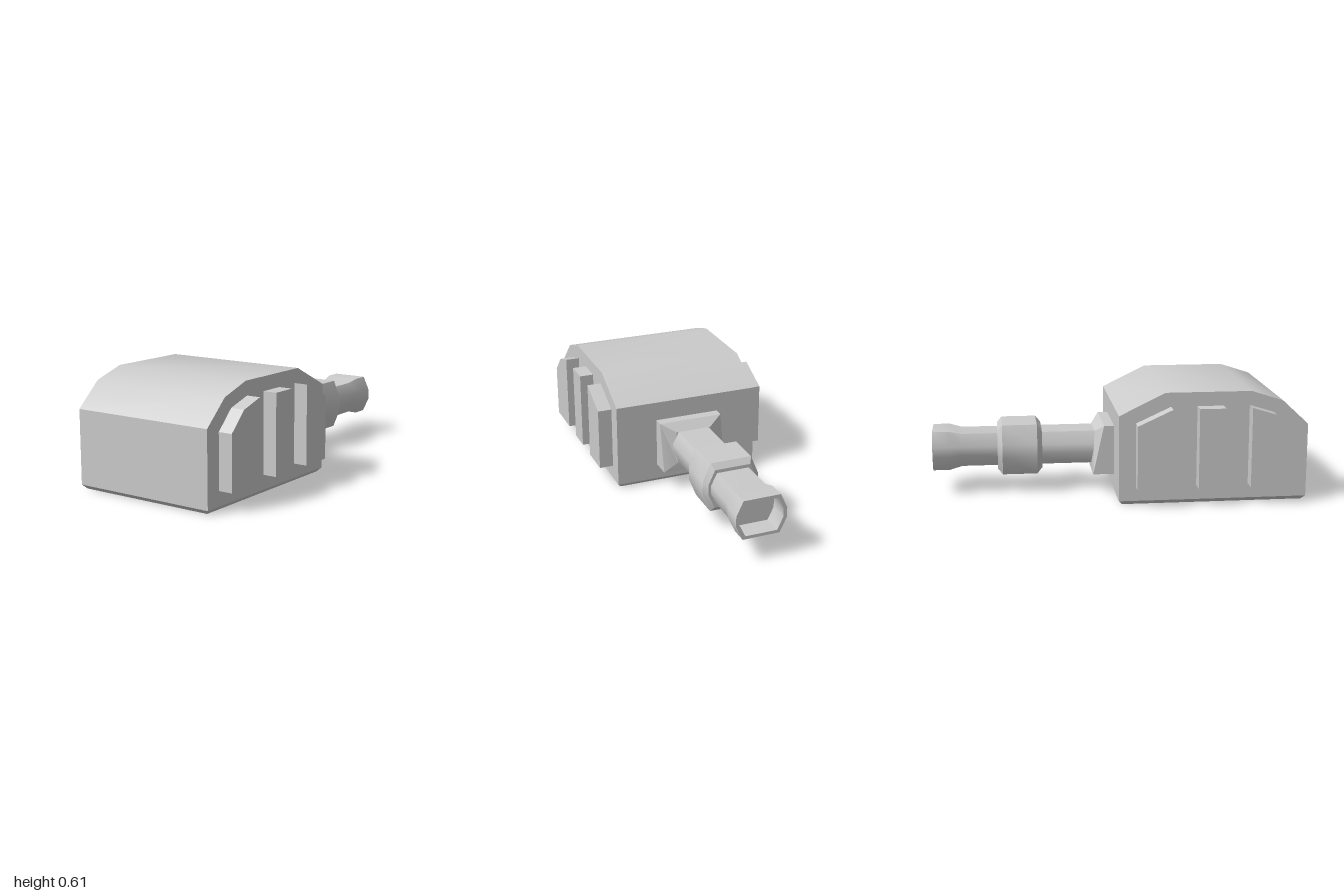
import * as THREE from 'three';
import { toCreasedNormals } from 'three/addons/utils/BufferGeometryUtils.js';

const material = new THREE.MeshStandardMaterial({ color: 0xcccccc });

function addMesh(parent, name, geometry, crease = 0.8) {
  const mesh = new THREE.Mesh(toCreasedNormals(geometry, crease), material);
  mesh.name = name;
  parent.add(mesh);
  return mesh;
}

// Skin rings of [x, y, z] points along +x, each counter-clockwise seen from +x, and cap both ends
function loft(rings) {
  const n = rings[0].length;
  const index = [];
  for (let i = 0; i < rings.length - 1; i++) {
    for (let j = 0; j < n; j++) {
      const k = (j + 1) % n;
      const a = i * n + j, b = i * n + k, c = b + n, d = a + n;
      index.push(a, b, c, a, c, d);
    }
  }
  const last = (rings.length - 1) * n;
  for (let j = 1; j < n - 1; j++) {
    index.push(0, j + 1, j, last, last + j, last + j + 1);
  }
  const geometry = new THREE.BufferGeometry();
  geometry.setAttribute('position', new THREE.Float32BufferAttribute(rings.flat(2), 3));
  geometry.setIndex(index);
  return geometry;
}

// Rectangle whose bottom and top edges may sit at different x
const rect = (xBottom, xTop, y0, y1, w) => [
  [xBottom, y0, -w], [xTop, y1, -w], [xTop, y1, w], [xBottom, y0, w],
];

// Octagon with wide flat top and bottom and short upright sides
const octagon = ([x, h, w]) => [
  [-1, -0.26], [-1, 0.26], [-0.73, 1], [0.73, 1],
  [1, 0.26], [1, -0.26], [0.73, -1], [-0.73, -1],
].map(([z, y]) => [x, 0.245 + y * h, z * w]);

// Side profile extruded along z between z0 and z1
function slab(points, z0, z1) {
  const shape = new THREE.Shape(points.map(([x, y]) => new THREE.Vector2(x, y)));
  return new THREE.ExtrudeGeometry(shape, { depth: z1 - z0, bevelEnabled: false }).translate(0, 0, z0);
}

export function createModel() {
  const model = new THREE.Group();
  model.name = 'turret';

  // Housing with a faceted roof
  addMesh(model, 'housing', slab([
    [-1, 0.022], [0.015, 0.022], [0.015, 0.485], [-0.23, 0.605],
    [-0.69, 0.605], [-0.86, 0.55], [-1, 0.42],
  ], -0.41, 0.41));

  // Chamfered underside
  const base = addMesh(model, 'base', loft([
    rect(0, 0, -0.4875, 0.4875, 0.39),
    rect(0.022, 0.022, -0.5075, 0.5075, 0.41),
  ]), 0.3);
  base.rotation.z = Math.PI / 2;
  base.position.x = -0.4925;

  // Raised armour plates on both flanks
  const plates = {
    rearPlate: [[-0.91, 0.1], [-0.68, 0.1], [-0.68, 0.53], [-0.81, 0.49], [-0.91, 0.39]],
    middlePlate: [[-0.54, 0.1], [-0.4, 0.1], [-0.4, 0.53], [-0.54, 0.53]],
    frontPlate: [[-0.26, 0.1], [-0.075, 0.1], [-0.075, 0.445], [-0.26, 0.53]],
  };
  for (const [name, points] of Object.entries(plates)) {
    addMesh(model, name + 'Near', slab(points, 0.4, 0.487), 0.3);
    addMesh(model, name + 'Far', slab(points, -0.487, -0.4), 0.3);
  }

  // Sloped mount at the barrel root
  addMesh(model, 'barrelMount', loft([
    rect(0, 0, 0.11, 0.38, 0.18),
    rect(0.13, 0.07, 0.11, 0.38, 0.18),
    rect(0.132, 0.115, 0.157, 0.335, 0.1),
  ]), 0.2);

  // Barrel with flared, hollow muzzle
  addMesh(model, 'barrel', loft([
    [0.08, 0.09, 0.12], [0.84, 0.09, 0.12], [0.91, 0.107, 0.137], [1, 0.107, 0.137],
    [1, 0.09, 0.118], [0.89, 0.09, 0.118],
  ].map(octagon)), 0.7);

  // Collar around the middle of the barrel
  addMesh(model, 'barrelCollar', loft([
    [0.405, 0.108, 0.135], [0.432, 0.138, 0.155], [0.622, 0.138, 0.155], [0.648, 0.108, 0.135],
  ].map(octagon)), 0.5);

  return model;
}
